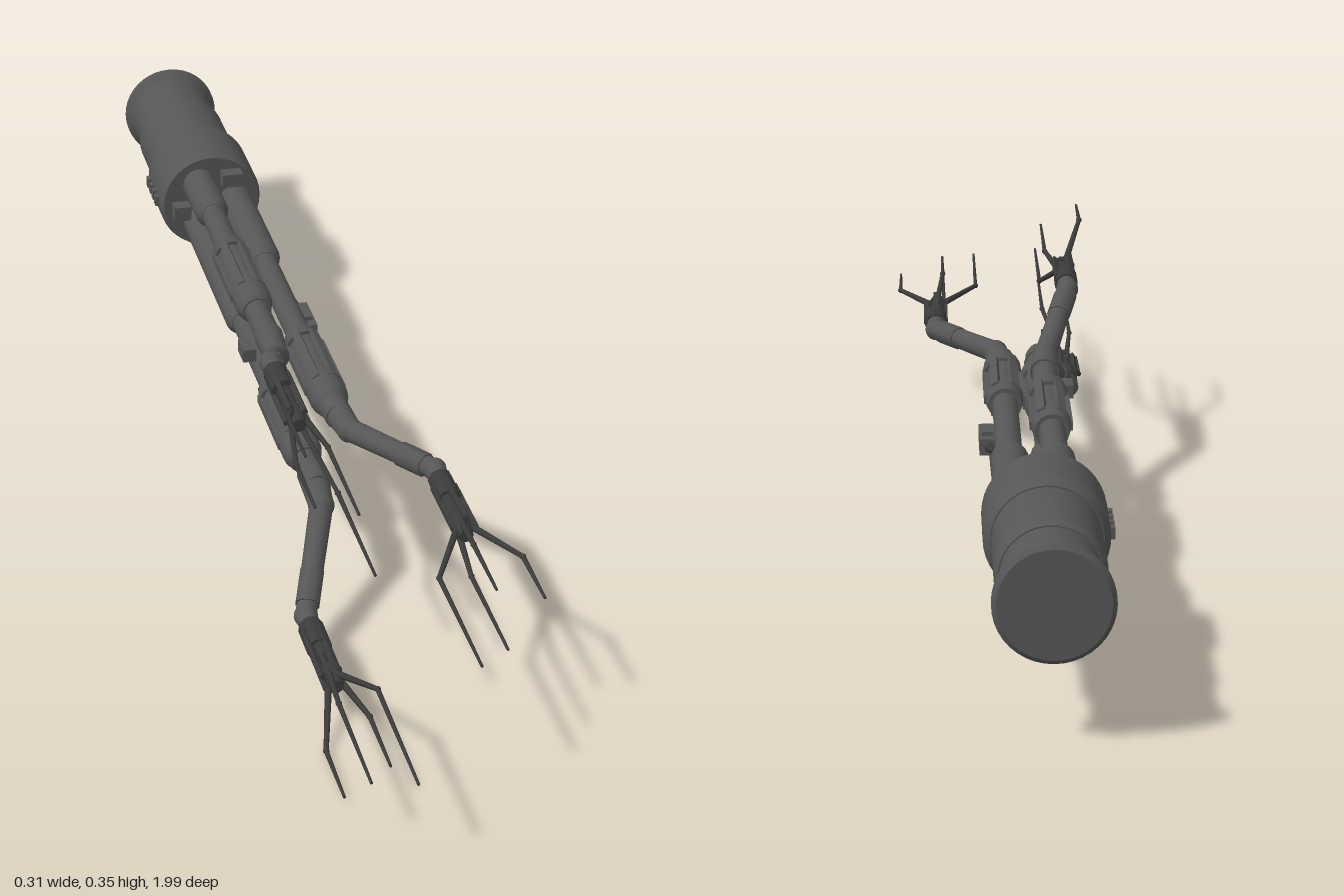
import * as THREE from 'three';

export function createModel() {
  const root = new THREE.Group();
  const metal = new THREE.MeshStandardMaterial({ name: 'grey metal', color: 0x565656 });
  const dark = new THREE.MeshStandardMaterial({ name: 'dark metal', color: 0x3c3c3c });

  const add = (parent, geo, mat, name, x = 0, y = 0, z = 0) => {
    const m = new THREE.Mesh(geo, mat);
    m.name = name;
    m.position.set(x, y, z);
    parent.add(m);
    return m;
  };
  // Round bar from a to b, radius r0 at a and r1 at b
  const bar = (parent, a, b, r0, r1, mat, name, sides = 16) => {
    const p = new THREE.Vector3(...a), q = new THREE.Vector3(...b);
    const d = q.clone().sub(p);
    const m = add(parent, new THREE.CylinderGeometry(r1, r0, d.length(), sides), mat, name);
    m.position.copy(p).add(q).multiplyScalar(0.5);
    m.quaternion.setFromUnitVectors(new THREE.Vector3(0, 1, 0), d.normalize());
    return m;
  };
  // Bar parallel to z at distance u from the main axis
  const rod = (parent, u, z0, z1, r0, r1, mat, name, sides = 16) =>
    bar(parent, [u, 0, z0], [u, 0, z1], r0, r1, mat, name, sides);

  const model = new THREE.Group();
  model.name = 'grapplingArm';
  model.position.set(-0.045, 0.193, 0);
  root.add(model);

  // Stepped base: end flange, neck, housing and wide collar
  [
    [-1, -0.995, 0.072, 0.078], [-0.995, -0.985, 0.078, 0.078], [-0.985, -0.975, 0.078, 0.069],
    [-0.975, -0.89, 0.069, 0.066], [-0.89, -0.88, 0.068, 0.073], [-0.88, -0.745, 0.073, 0.073],
    [-0.745, -0.73, 0.075, 0.084], [-0.73, -0.625, 0.084, 0.084], [-0.625, -0.61, 0.084, 0.079],
  ].forEach(([z0, z1, r0, r1]) => rod(model, 0, z0, z1, r0, r1, metal, 'base', 40));

  // Fittings on the collar and its front plate
  for (let i = 0; i < 4; i++)
    add(model, new THREE.BoxGeometry(0.012, 0.016, 0.014), metal, 'collarNub', -0.084, 0, -0.71 + i * 0.024);
  add(model, new THREE.BoxGeometry(0.034, 0.022, 0.03), metal, 'frontBlock', 0.032, 0.046, -0.6);
  add(model, new THREE.BoxGeometry(0.028, 0.024, 0.03), metal, 'frontBlock', -0.052, -0.006, -0.6);

  // Sensor box on a thin stalk, and a small block on the far side
  bar(model, [0.06, -0.034, -0.61], [0.064, -0.032, -0.2], 0.003, 0.003, dark, 'sensorStalk', 6);
  add(model, new THREE.BoxGeometry(0.024, 0.024, 0.08), metal, 'sensorBox', 0.068, -0.024, -0.2);
  add(model, new THREE.BoxGeometry(0.016, 0.032, 0.045), metal, 'sensorFace', 0.068, -0.022, -0.2);
  bar(model, [0.06, -0.015, -0.29], [0.066, -0.024, -0.24], 0.004, 0.007, dark, 'sensorNose', 8);
  add(model, new THREE.BoxGeometry(0.02, 0.02, 0.04), metal, 'sideBlock', -0.052, 0.012, -0.055);

  // Three arms: angle, sleeve end, joint shift, hand shift, outward shift
  [
    [0, -0.38, 0, 0, 0],
    [2 * Math.PI / 3, -0.5, -0.26, -0.17, -0.016],
    [4 * Math.PI / 3, -0.25, 0.09, 0.135, 0.014],
  ].forEach(([angle, sleeve, js, hs, us]) => {
    const arm = new THREE.Group();
    arm.name = 'arm';
    arm.rotation.z = angle;
    model.add(arm);
    const U = 0.04, H = 0.14 + us;

    // Sleeve and inner shaft
    rod(arm, U, -0.62, sleeve, 0.027, 0.027, metal, 'sleeve', 20);
    rod(arm, U, sleeve, sleeve + 0.015, 0.027, 0.02, metal, 'sleeve', 20);
    rod(arm, U, sleeve, 0.16 + hs, 0.019, 0.019, metal, 'shaft');

    // Ribbed joint with collars
    const j = -0.1 + js;
    rod(arm, U, j, j + 0.22, 0.024, 0.024, metal, 'jointCore');
    rod(arm, U, j, j + 0.035, 0.025, 0.029, metal, 'jointCollar');
    rod(arm, U, j + 0.16, j + 0.2, 0.029, 0.029, metal, 'jointCollar');
    rod(arm, U, j + 0.2, j + 0.225, 0.029, 0.022, metal, 'jointCollar');
    for (let i = 0; i < 6; i++) {
      const a = i * Math.PI / 3;
      const rib = add(arm, new THREE.BoxGeometry(0.009, 0.012, 0.15), metal, 'jointRib',
        U + Math.cos(a) * 0.026, Math.sin(a) * 0.026, j + 0.1);
      rib.rotation.z = a;
    }

    // Bent elbow and forearm
    const e0 = [U, 0, 0.12 + hs], e1 = [U + 0.008, 0, 0.2 + hs];
    const e2 = [H, 0, 0.34 + hs], e3 = [H, 0, 0.4 + hs];
    bar(arm, e0, e1, 0.022, 0.018, metal, 'elbow');
    add(arm, new THREE.SphereGeometry(0.019, 16, 10), metal, 'elbowBall', ...e1);
    bar(arm, e1, e2, 0.017, 0.015, metal, 'forearm');
    add(arm, new THREE.SphereGeometry(0.017, 16, 10), metal, 'wristBall', ...e2);
    const mid = (t) => e1.map((v, i) => v + (e2[i] - v) * t);
    bar(arm, mid(0.6), mid(0.9), 0.018, 0.018, metal, 'forearmCuff', 8);
    bar(arm, e2, e3, 0.016, 0.013, metal, 'wrist');

    // Hub with fins
    rod(arm, H, 0.37 + hs, 0.43 + hs, 0.018, 0.018, dark, 'handHub', 8);
    rod(arm, H - 0.003, 0.43 + hs, 0.5 + hs, 0.012, 0.012, dark, 'handHub', 8);
    rod(arm, H - 0.003, 0.49 + hs, 0.53 + hs, 0.016, 0.01, dark, 'handHub', 8);
    for (let i = 0; i < 4; i++) {
      const a = i * Math.PI / 2;
      const fin = add(arm, new THREE.BoxGeometry(0.008, 0.007, 0.12), dark, 'handFin',
        H + Math.cos(a) * 0.015, Math.sin(a) * 0.015, 0.45 + hs);
      fin.rotation.z = a;
    }

    // Four jointed fingers: elbow and tip offsets from the hub
    [
      [0.012, 0, 0.058, 0, 0.6, 0.71],
      [-0.012, 0, -0.067, 0, 0.63, 0.855],
      [-0.008, -0.01, -0.014, -0.022, 0.6, 0.79],
      [-0.004, 0.01, -0.012, 0.028, 0.6, 0.72],
    ].forEach(([u0, v0, u1, v1, z1, z2]) => {
      const k = [H + u0, v0, 0.51 + hs], p = [H + u1, v1, z1 + hs], t = [H + u1, v1, z2 + hs];
      bar(arm, [H + u0, v0, 0.46 + hs], k, 0.005, 0.005, dark, 'fingerRoot', 6);
      bar(arm, k, p, 0.005, 0.0035, dark, 'fingerLower', 6);
      add(arm, new THREE.SphereGeometry(0.0045, 8, 6), dark, 'fingerKnuckle', ...p);
      bar(arm, p, t, 0.0035, 0.002, dark, 'fingerTip', 6);
    });
  });
  return root;
}
